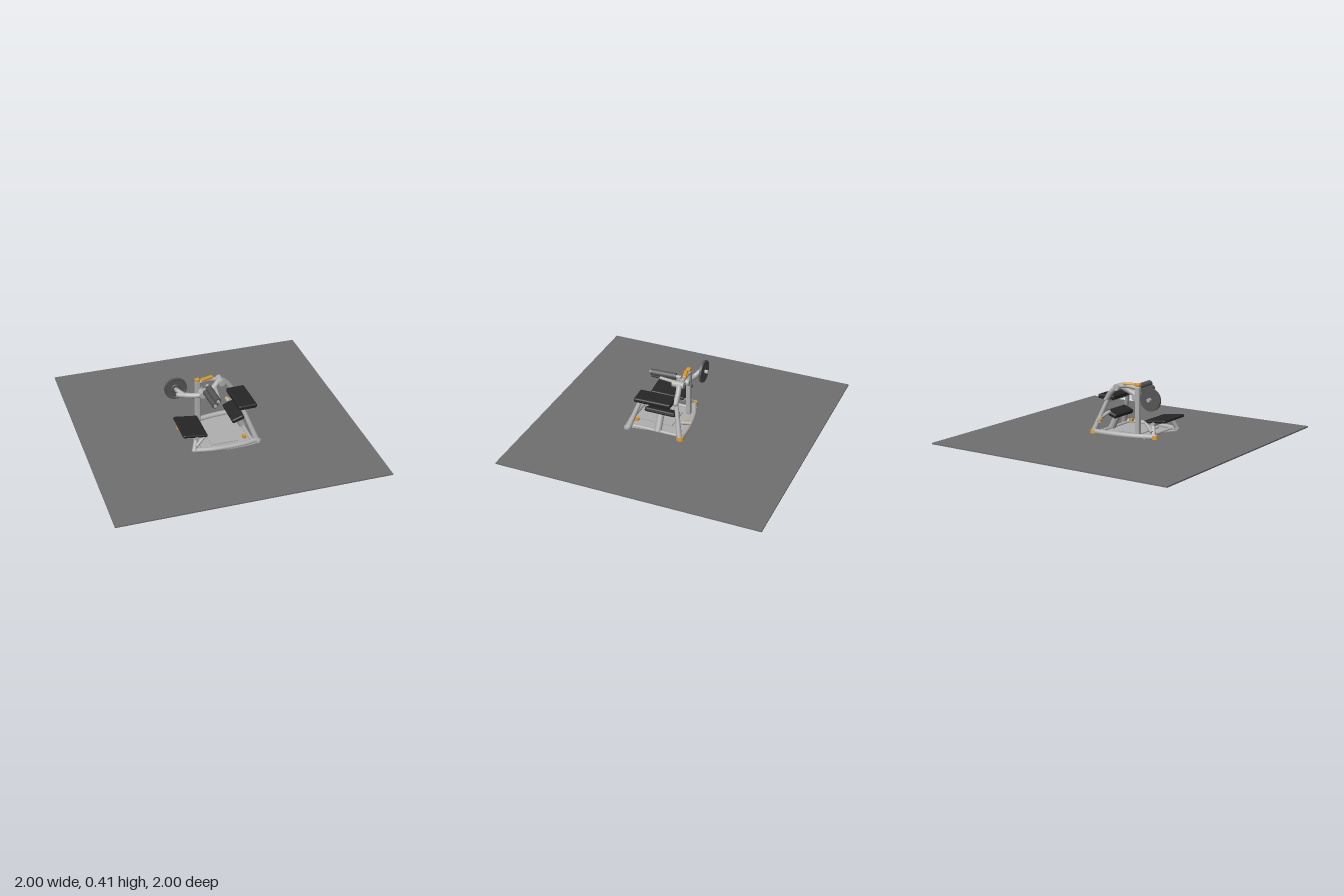
import * as THREE from 'three';
import { RoundedBoxGeometry } from 'three/addons/geometries/RoundedBoxGeometry.js';

const mat = (name, color) => {
  const m = new THREE.MeshStandardMaterial({ color });
  m.name = name;
  return m;
};
const V = (p) => new THREE.Vector3(...p);

export function createModel() {
  const model = new THREE.Group();
  model.name = 'legTrainingMachine';
  const floorGrey = mat('floorGrey', 0x707070);
  const frameGrey = mat('frameGrey', 0xb0b0b0);
  const padBlack = mat('padBlack', 0x262626);
  const plateGrey = mat('plateGrey', 0x555555);
  const orange = mat('orange', 0xd6982f);

  const add = (name, geometry, material, pos = [0, 0, 0], rot = [0, 0, 0]) => {
    const mesh = new THREE.Mesh(geometry, material);
    mesh.name = name;
    mesh.position.set(...pos);
    mesh.rotation.set(...rot);
    model.add(mesh);
    return mesh;
  };
  const box = (name, size, pos, material, rot) => add(name, new THREE.BoxGeometry(...size), material, pos, rot);
  const pad = (name, size, pos, rot, r = 0.012) =>
    add(name, new RoundedBoxGeometry(...size, 3, r), padBlack, pos, rot);
  // Round bar between two points
  const bar = (name, a, b, r, material = frameGrey, r2 = r) => {
    const p = V(a), q = V(b), d = q.clone().sub(p);
    const mesh = add(name, new THREE.CylinderGeometry(r2, r, d.length(), 20), material);
    mesh.position.copy(p).add(q).multiplyScalar(0.5);
    mesh.quaternion.setFromUnitVectors(new THREE.Vector3(0, 1, 0), d.normalize());
    return mesh;
  };
  // Bent tube with rounded ends
  const bend = (name, pts, r, material = frameGrey) => {
    const curve = new THREE.CatmullRomCurve3(pts.map(V), false, 'centripetal');
    add(name, new THREE.TubeGeometry(curve, 40, r, 14), material);
    for (const p of [pts[0], pts[pts.length - 1]]) add(name + 'End', new THREE.SphereGeometry(r, 14, 10), material, p);
  };

  // Floor slab
  box('floorSlab', [2, 0.01, 2], [0, 0.009, 0], floorGrey);

  // Base plate with bowed front and back edges
  const outline = new THREE.Shape();
  outline.moveTo(-0.24, 0.0);
  outline.quadraticCurveTo(0, 0.11, 0.2, 0.08);
  outline.quadraticCurveTo(0.18, -0.12, 0.22, -0.33);
  outline.quadraticCurveTo(0.22, -0.36, 0.18, -0.36);
  outline.quadraticCurveTo(-0.02, -0.385, -0.24, -0.33);
  outline.quadraticCurveTo(-0.28, -0.32, -0.25, -0.28);
  outline.quadraticCurveTo(-0.16, -0.14, -0.24, 0.0);
  add('basePlate', new THREE.ExtrudeGeometry(outline, { depth: 0.018, bevelEnabled: false, curveSegments: 16 }),
    frameGrey, [0, 0.001, 0], [-Math.PI / 2, 0, 0]);
  box('footPlatform', [0.2, 0.008, 0.26], [-0.01, 0.022, 0.16], frameGrey);
  for (const [x, z] of [[0.05, 0.18], [-0.035, 0.1]]) {
    box('underSlot', [0.012, 0.002, 0.09], [x, 0.001, z], padBlack);
  }

  // Curved base rails
  bend('frontRail', [[-0.25, 0.026, 0.32], [-0.12, 0.026, 0.345], [0, 0.026, 0.35], [0.12, 0.026, 0.345], [0.23, 0.026, 0.325]], 0.018);
  bend('backRail', [[-0.26, 0.026, 0], [-0.14, 0.026, -0.05], [0, 0.026, -0.08], [0.12, 0.026, -0.09], [0.22, 0.026, -0.09]], 0.02);
  for (const x of [-0.2, 0.19]) bar('sideRail', [x, 0.022, -0.05], [x, 0.022, 0.33], 0.012);

  // Feet
  for (const [x, z, r] of [[0.22, -0.09, 0.032], [-0.265, -0.005, 0.026]]) {
    add('orangeFoot', new THREE.CylinderGeometry(r * 0.8, r, 0.04, 20), orange, [x, 0.02, z]);
  }
  add('frontFoot', new THREE.CylinderGeometry(0.022, 0.026, 0.03, 20), frameGrey, [0.23, 0.015, 0.33]);
  box('orangeLatch', [0.025, 0.02, 0.03], [0.14, 0.05, 0.29], orange);

  // Main post
  add('mainPost', new RoundedBoxGeometry(0.038, 0.37, 0.036, 3, 0.008), frameGrey, [-0.122, 0.205, -0.015]);
  add('postCap', new RoundedBoxGeometry(0.034, 0.024, 0.034, 2, 0.006), orange, [-0.124, 0.4, -0.012]);
  add('orangeGrip', new RoundedBoxGeometry(0.1, 0.02, 0.03, 2, 0.008), orange, [-0.05, 0.4, -0.015], [0, 0.25, 0]);

  // Right support frame: two leaning legs under the bench pad
  for (const [z0, z1] of [[0.32, 0.24], [-0.085, -0.025]]) {
    bar('benchLeg', [0.225, 0.025, z0], [0.14, 0.265, z1], 0.021, frameGrey, 0.015);
  }
  bar('benchCrossbar', [0.145, 0.255, -0.02], [0.145, 0.255, 0.24], 0.014);
  pad('benchPad', [0.14, 0.034, 0.285], [0.17, 0.278, 0.128], [0, 0.03, 0]);

  // Lower shin pad and its bracket
  pad('shinPad', [0.095, 0.034, 0.24], [0.118, 0.153, 0.1], [0, 0, 0.35]);
  bar('shinBracket', [0.19, 0.02, 0.1], [0.13, 0.14, 0.1], 0.026);
  bar('shinBrace', [0.115, 0.18, -0.03], [0.18, 0.13, -0.05], 0.014);

  // Storage peg behind the frame
  bar('storagePeg', [0.18, 0.13, -0.06], [0.14, 0.12, -0.14], 0.014);
  bar('pegCollar', [0.155, 0.125, -0.095], [0.143, 0.121, -0.13], 0.016, orange);

  // Seat with leaning legs
  pad('seatPad', [0.185, 0.024, 0.275], [-0.233, 0.13, 0.17], [0, 0, -0.13]);
  bar('seatBeam', [-0.225, 0.112, 0.02], [-0.225, 0.112, 0.31], 0.014);
  for (const [z0, z1] of [[0.325, 0.28], [0.0, 0.04]]) {
    bar('seatLeg', [-0.25, 0.025, z0], [-0.22, 0.115, z1], 0.018, frameGrey, 0.014);
    bar('seatBrace', [-0.235, 0.06, z0], [-0.15, 0.115, z1], 0.012);
  }

  // Lever arm
  bend('leverArm', [[-0.26, 0.29, -0.03], [-0.19, 0.285, -0.005], [-0.1, 0.3, 0.035], [-0.02, 0.335, 0.03],
    [0.05, 0.37, -0.01], [0.1, 0.335, -0.025], [0.15, 0.265, -0.025]], 0.02);
  bend('upperLink', [[-0.12, 0.375, -0.015], [-0.05, 0.385, -0.02], [0.04, 0.375, -0.02]], 0.015);
  bar('pivotHub', [0.05, 0.368, -0.05], [0.05, 0.368, 0.04], 0.025);
  bar('leverPivot', [-0.1, 0.305, -0.03], [-0.1, 0.305, 0.06], 0.025);

  // Paired rollers with light end caps
  for (const [x, y] of [[-0.08, 0.33], [-0.058, 0.362]]) {
    bar('rollerPad', [x, y, 0.06], [x + 0.01, y, 0.255], 0.023, plateGrey);
    bar('rollerAxle', [x, y, 0.02], [x + 0.01, y, 0.265], 0.012);
  }
  bar('rollerStrut', [0.0, 0.345, 0.02], [-0.02, 0.345, 0.17], 0.012);

  // Weight disc, stepped like a cast plate
  const profile = [[0, -0.008], [0.085, -0.008], [0.085, 0.008], [0.074, 0.008], [0.07, 0.003],
    [0.035, 0.003], [0.031, 0.009], [0, 0.009]].map(([r, y]) => new THREE.Vector2(r, y));
  const disc = new THREE.LatheGeometry(profile, 48).toNonIndexed();
  disc.computeVertexNormals();
  add('weightDisc', disc, plateGrey, [-0.27, 0.32, -0.075], [Math.PI / 2, 0, 0]);
  bar('discAxle', [-0.27, 0.32, -0.108], [-0.27, 0.32, -0.04], 0.014);
  bar('discArm', [-0.27, 0.32, -0.05], [-0.22, 0.288, -0.015], 0.017);

  return model;
}
